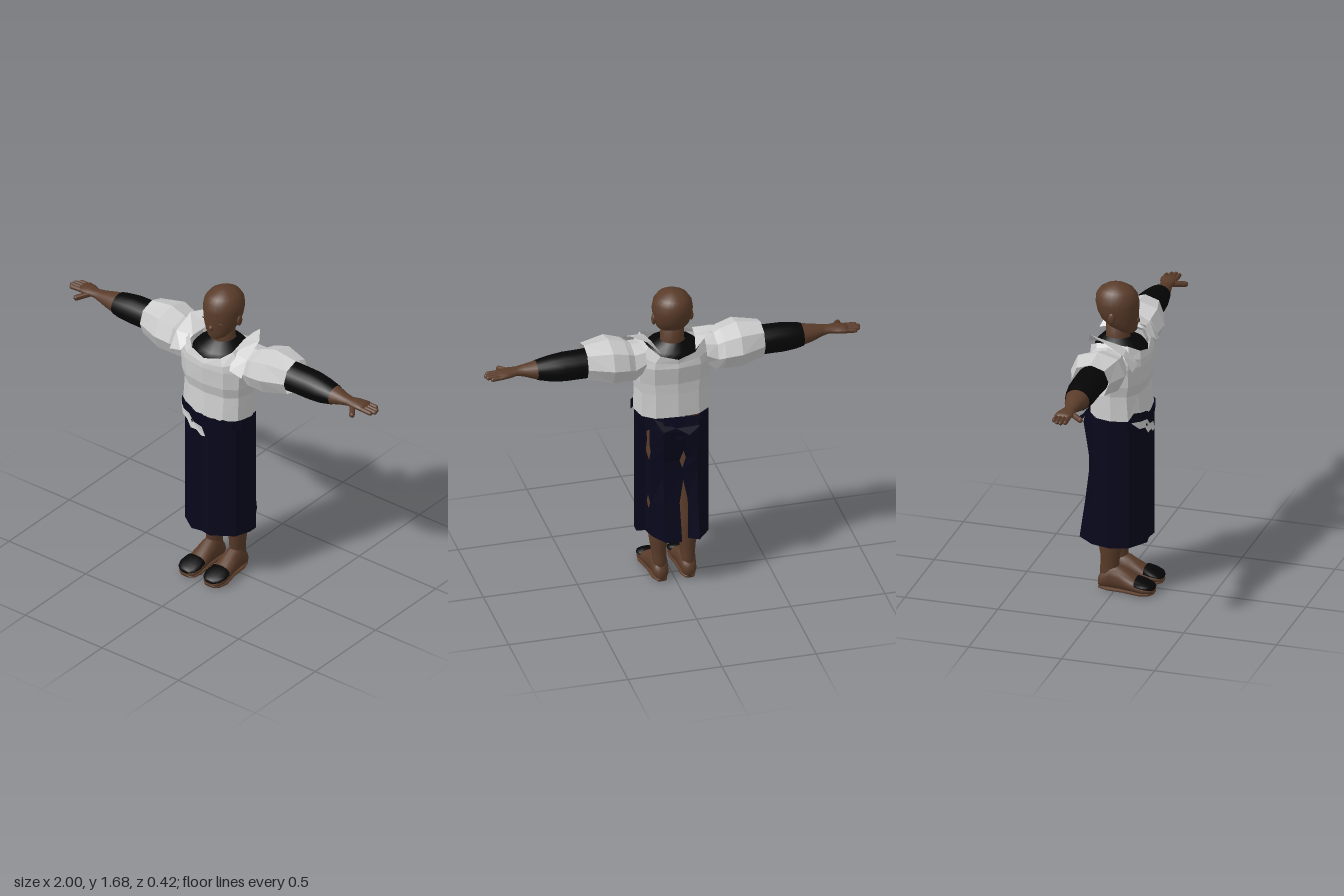
import * as THREE from 'three';

const mat = (name, color, side = THREE.FrontSide) => {
  const m = new THREE.MeshStandardMaterial({ color, side });
  m.name = name;
  return m;
};

// Closed loft along an axis; ring = [t, a, b, cu, cv], (u, v) being the next two axes
// in the order that keeps the faces outward. pow < 1 gives squarer sections.
function loft(axis, rings, n, pow = 1, cap = true, bend = (p) => p) {
  const place = { x: (t, u, v) => [t, v, u], y: (t, u, v) => [u, t, v], z: (t, u, v) => [v, u, t] }[axis];
  const sq = (c) => Math.sign(c) * Math.abs(c) ** pow;
  const pos = [], idx = [];
  rings.forEach(([t, a, b, cu, cv], i) => {
    for (let j = 0; j < n; j++) {
      const w = (j / n) * Math.PI * 2;
      pos.push(...bend(place(t, cu + a * sq(Math.cos(w)), cv + b * sq(Math.sin(w))), i, w));
      if (i === rings.length - 1) continue;
      const A = i * n + j, B = i * n + (j + 1) % n;
      idx.push(A, A + n, B, B, A + n, B + n);
    }
  });
  if (cap) {
    const last = rings.length - 1, c = rings.length * n;
    for (const k of [0, last]) pos.push(...place(rings[k][0], rings[k][3], rings[k][4]));
    for (let j = 0; j < n; j++) {
      const k = (j + 1) % n;
      idx.push(c, j, k, c + 1, last * n + k, last * n + j);
    }
  }
  return surface(pos, idx);
}

function surface(pos, idx) {
  const g = new THREE.BufferGeometry();
  g.setAttribute('position', new THREE.Float32BufferAttribute(pos, 3));
  g.setIndex(idx);
  g.computeVertexNormals();
  return g;
}

// Flat outline laid onto the body by a rule
function plate(outline, rule) {
  const g = new THREE.ShapeGeometry(new THREE.Shape(outline.map((p) => new THREE.Vector2(...p))));
  const p = g.attributes.position;
  for (let i = 0; i < p.count; i++) p.setXYZ(i, ...rule(p.getX(i), p.getY(i)));
  g.computeVertexNormals();
  return g;
}

// Rounded rod between two points
function rod(a, b, r) {
  const A = new THREE.Vector3(...a), B = new THREE.Vector3(...b), d = B.clone().sub(A);
  const g = new THREE.CapsuleGeometry(r, d.length(), 4, 8);
  g.applyQuaternion(new THREE.Quaternion().setFromUnitVectors(new THREE.Vector3(0, 1, 0), d.normalize()));
  return g.translate(...A.add(B).multiplyScalar(0.5).toArray());
}

const blob = (x, y, z, sx, sy, sz) => new THREE.SphereGeometry(1, 14, 10).scale(sx, sy, sz).translate(x, y, z);

function mirror(geo) {
  const g = geo.clone().scale(-1, 1, 1);
  g.setIndex([...geo.index.array].reverse());
  g.computeVertexNormals();
  return g;
}

export function createModel() {
  const root = new THREE.Group();
  root.name = 'figure';
  const skin = mat('brown skin', 0x5a3c2a);
  const cloth = mat('pale grey cloth', 0xcccccc, THREE.DoubleSide);
  const navy = mat('navy cloth', 0x07071c, THREE.DoubleSide);
  const black = mat('black cloth', 0x050505, THREE.DoubleSide);
  const dark = mat('dark brown', 0x3c281c);

  const add = (name, geo, m, flat = false) => {
    if (flat) {
      geo = geo.toNonIndexed();
      geo.computeVertexNormals();
    }
    const mesh = new THREE.Mesh(geo, m);
    mesh.name = name;
    root.add(mesh);
  };
  const pair = (name, geo, m, flat = false) => {
    add(name + 'Left', geo, m, flat);
    add(name + 'Right', mirror(geo), m, flat);
  };

  // Head, neck and face
  add('head', loft('y', [
    [1.425, 0.03, 0.025, 0, 0.055], [1.437, 0.052, 0.05, 0, 0.04], [1.465, 0.075, 0.077, 0, 0.016],
    [1.5, 0.09, 0.098, 0, 0], [1.54, 0.1, 0.108, 0, -0.01], [1.585, 0.106, 0.114, 0, -0.013],
    [1.625, 0.1, 0.108, 0, -0.016], [1.655, 0.08, 0.088, 0, -0.018], [1.675, 0.05, 0.055, 0, -0.02],
    [1.685, 0.018, 0.02, 0, -0.02]], 24), skin);
  add('neck', loft('y', [[1.34, 0.085, 0.075, 0, -0.015], [1.4, 0.062, 0.062, 0, -0.01],
    [1.5, 0.06, 0.062, 0, -0.012]], 16), skin);
  add('nose', blob(0, 1.493, 0.092, 0.014, 0.017, 0.016), skin);
  add('lips', blob(0, 1.46, 0.08, 0.026, 0.009, 0.012), skin);
  pair('ear', blob(0.1, 1.525, -0.015, 0.011, 0.03, 0.019), skin);
  pair('eyelid', blob(0.045, 1.53, 0.082, 0.024, 0.003, 0.005), dark);

  // Undershirt showing at the open neck
  add('undershirt', loft('y', [[1.24, 0.17, 0.125, 0, 0.005], [1.33, 0.16, 0.14, 0, 0.005],
    [1.365, 0.13, 0.125, 0, 0.002], [1.405, 0.07, 0.075, 0, -0.008]], 18, 1, false), black);

  // Shirt, its wide neckline dropping to a point at front and back
  add('shirt', loft('y', [
    [0.995, 0.2, 0.152, 0, 0.012], [1.13, 0.197, 0.141, 0, 0.008], [1.19, 0.208, 0.148, 0, 0.016],
    [1.29, 0.215, 0.157, 0, 0.011], [1.35, 0.205, 0.153, 0, 0.012], [1.41, 0.16, 0.148, 0, 0.006],
  ], 12, 0.8, false, ([x, y, z], i, w) => {
    const drop = [0, 0, 0, 0, 0.035, 0.07][i] * Math.abs(Math.sin(w)) ** 3;
    return [x, y - drop, z];
  }), cloth, true);
  pair('shoulderFlap', surface([
    0.09, 1.385, -0.14, 0.16, 1.45, -0.11, 0.115, 1.405, -0.03, 0.225, 1.445, -0.02,
    0.13, 1.39, 0.08, 0.23, 1.385, 0.09, 0.16, 1.32, 0.145, 0.235, 1.3, 0.14],
  [0, 1, 2, 2, 1, 3, 2, 3, 4, 4, 3, 5, 4, 5, 6, 6, 5, 7]), cloth, true);
  pair('puffSleeve', loft('x', [
    [0.16, 0.1, 0.075, -0.01, 1.32], [0.22, 0.11, 0.1, -0.01, 1.295], [0.255, 0.13, 0.105, -0.01, 1.31],
    [0.34, 0.145, 0.117, -0.012, 1.325], [0.47, 0.1, 0.093, -0.012, 1.33]], 8, 0.88, false), cloth, true);

  // Arms, the right undersleeve pushed up a little higher
  const undersleeve = (cuff) => loft('x', [
    [0.42, 0.085, 0.077, -0.015, 1.32], [0.5, 0.082, 0.075, -0.018, 1.32], [0.58, 0.08, 0.075, -0.018, 1.319],
    [0.65, 0.073, 0.067, -0.016, 1.317], cuff], 18, 1, false);
  add('undersleeveLeft', undersleeve([0.725, 0.058, 0.05, -0.014, 1.318]), black);
  add('undersleeveRight', mirror(undersleeve([0.687, 0.066, 0.059, -0.015, 1.317])), black);
  pair('forearm', loft('x', [
    [0.64, 0.069, 0.063, -0.016, 1.317], [0.69, 0.062, 0.055, -0.015, 1.318], [0.74, 0.052, 0.044, -0.013, 1.319],
    [0.79, 0.038, 0.03, -0.009, 1.322], [0.83, 0.032, 0.021, -0.009, 1.324], [0.87, 0.043, 0.022, -0.015, 1.324],
    [0.91, 0.046, 0.018, -0.02, 1.323], [0.93, 0.041, 0.011, -0.021, 1.321]], 16), skin);
  [0.962, 0.982, 0.988, 0.975].forEach((tip, i) => {
    const z = -0.052 + i * 0.0215;
    pair('finger' + (i + 1), rod([0.89, 1.322, z * 0.95], [tip, 1.318, z], 0.0118), skin);
  });
  pair('thumb', rod([0.86, 1.318, 0.012], [0.9, 1.308, 0.068], 0.015), skin);

  // Legs and feet
  pair('leg', loft('y', [
    [0.04, 0.036, 0.036, 0.075, -0.045], [0.12, 0.037, 0.05, 0.075, -0.032], [0.18, 0.042, 0.05, 0.077, -0.028],
    [0.28, 0.058, 0.067, 0.076, -0.028], [0.38, 0.06, 0.07, 0.072, -0.03], [0.52, 0.058, 0.066, 0.07, -0.02],
    [0.75, 0.062, 0.075, 0.07, -0.015], [0.98, 0.068, 0.09, 0.072, 0]], 18), skin);
  pair('foot', loft('z', [
    [-0.09, 0.026, 0.02, 0.04, 0.073], [-0.075, 0.045, 0.038, 0.052, 0.074], [-0.02, 0.072, 0.047, 0.078, 0.075],
    [0.03, 0.065, 0.049, 0.07, 0.077], [0.1, 0.042, 0.057, 0.047, 0.08], [0.16, 0.03, 0.062, 0.035, 0.082],
    [0.195, 0.022, 0.05, 0.028, 0.081], [0.208, 0.014, 0.032, 0.024, 0.079]], 18), skin);
  pair('sole', loft('z', [
    [-0.088, 0.008, 0.025, 0.012, 0.074], [-0.04, 0.01, 0.042, 0.01, 0.075], [0.05, 0.01, 0.045, 0.01, 0.078],
    [0.14, 0.01, 0.062, 0.01, 0.081], [0.19, 0.009, 0.053, 0.011, 0.08], [0.21, 0.007, 0.03, 0.013, 0.078]],
  12, 0.7), skin);
  pair('toeStrap', loft('z', [
    [0.115, 0.027, 0.059, 0.06, 0.081], [0.16, 0.021, 0.065, 0.051, 0.082], [0.195, 0.017, 0.053, 0.043, 0.081],
    [0.211, 0.01, 0.03, 0.037, 0.079]], 14), black);

  // Skirt: an open wrap, stepping in behind the left side panel, its back edges parting in two places
  const outline = [[-0.02, -0.13], [-0.1, -0.15], [-0.17, -0.1], [-0.195, 0], [-0.165, 0.1], [-0.07, 0.168],
    [-0.01, 0.158], [0.05, 0.17], [0.165, 0.1], [0.195, 0.02], [0.195, -0.03], [0.15, -0.035],
    [0.13, -0.105], [0.08, -0.15], [-0.03, -0.156]];
  const rows = [[1.0, 1, 0], [0.93, 1.1, 0], [0.82, 0.98, 0], [0.74, 0.9, 0.025], [0.66, 0.9, 0],
    [0.5, 1.03, 0.03], [0.285, 1.24, 0.025]];
  const pos = [], idx = [], n = outline.length;
  rows.forEach(([y, back, gap], i) => outline.forEach(([x, z], j) => {
    const part = j === 0 ? -gap : j === n - 1 ? gap : 0;
    pos.push(x + part, y < 0.3 ? y + x * 0.03 : y, z < -0.12 ? z * back : z);
    if (i < rows.length - 1 && j < n - 1) {
      const a = i * n + j;
      idx.push(a, a + 1, a + n, a + 1, a + n + 1, a + n);
    }
  }));
  add('skirt', surface(pos, idx), navy, true);

  // Torn openings behind the left side panel, outlined as [distance back, height]
  const tears = [
    [[0.085, 0.915], [0.056, 0.89], [0.06, 0.84], [0.049, 0.775], [0.08, 0.73], [0.096, 0.79], [0.082, 0.83]],
    [[0.07, 0.52], [0.058, 0.48], [0.075, 0.44], [0.09, 0.48]]];
  tears.forEach((t, i) => add('skirtTear' + (i + 1), plate(t, (u, y) => [0.164 - u * 0.286, y, -u]), skin));

  // Waist sash wrapped over the shirt hem, as columns of [x, top]
  const wrap = (x, lift) => 0.012 + (0.154 + lift) * (1 - (Math.abs(x) / 0.208) ** 2.5) ** 0.4;
  const tops = [[-0.19, 0.99], [-0.165, 1.04], [-0.12, 1.03], [-0.08, 1.025], [-0.04, 1.005], [0, 1.01],
    [0.04, 0.985], [0.08, 0.98], [0.12, 1.01], [0.16, 1.0], [0.195, 1.005]];
  add('sash', surface(tops.flatMap(([x, y]) => [x, y, wrap(x, 0.005), x, 0.95, wrap(x, 0.001)]),
    tops.slice(1).flatMap((_, i) => [2 * i, 2 * i + 1, 2 * i + 2, 2 * i + 2, 2 * i + 1, 2 * i + 3])), navy, true);

  // Torn shirt tail and loose ends of the sash at the back
  add('shirtTail', plate([[-0.18, 0.99], [-0.14, 0.945], [-0.1, 0.94], [-0.07, 0.9], [-0.03, 0.905], [0, 0.88],
    [0.028, 0.885], [0.005, 0.935], [-0.05, 0.945], [-0.08, 0.98], [-0.13, 0.985]],
  (x, y) => [x, y, wrap(x, 0.012)]), cloth);
  add('backSash', surface([-0.13, 1.0, -0.15, 0.13, 1.0, -0.13, 0.0, 0.87, -0.172,
    -0.04, 0.925, -0.21, -0.11, 0.95, -0.165, 0.02, 0.95, -0.168, 0.09, 0.94, -0.18],
  [0, 1, 2, 4, 5, 3, 5, 1, 6]), navy, true);

  return root;
}
